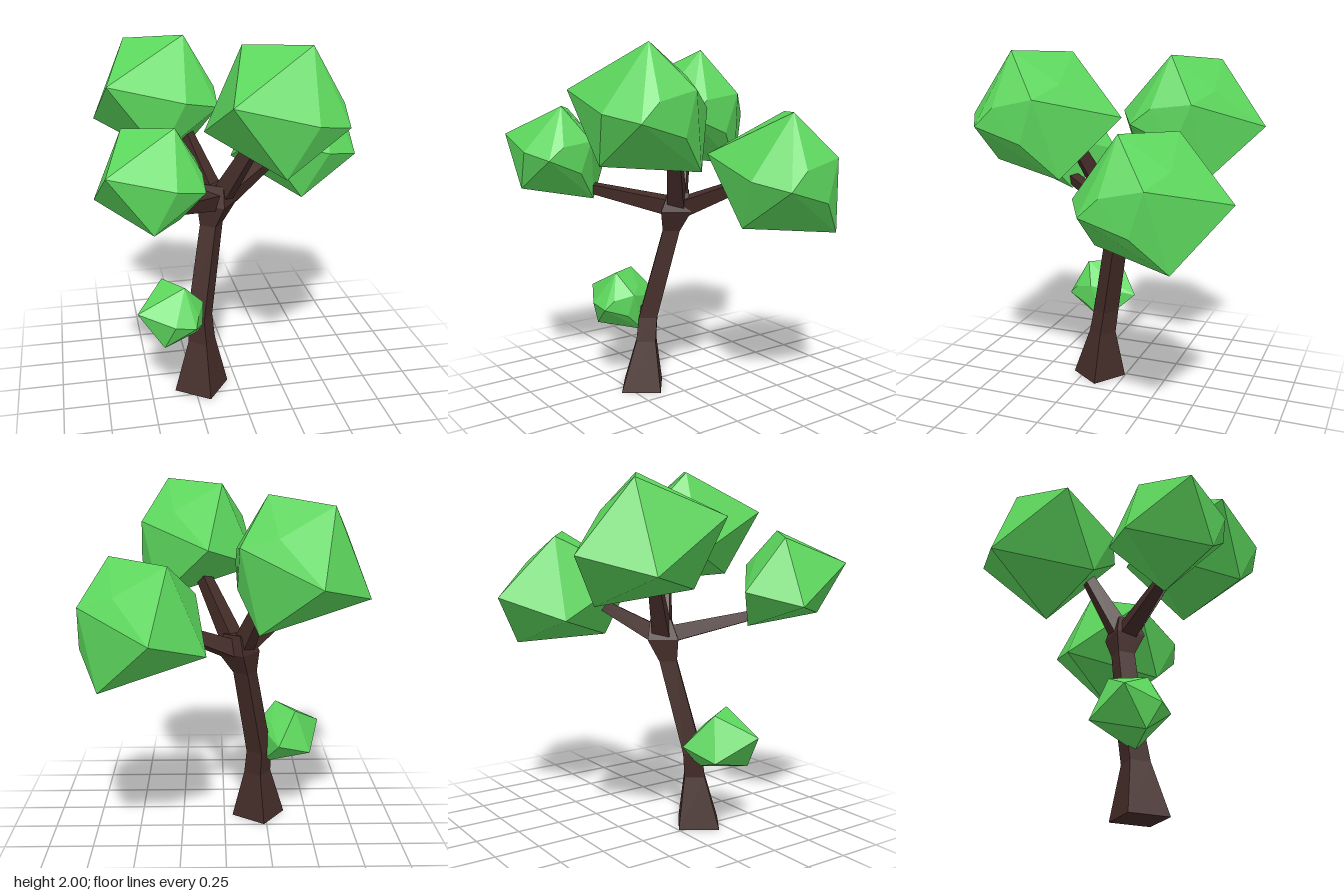
import * as THREE from 'three';
import { ConvexGeometry } from 'three/addons/geometries/ConvexGeometry.js';

const bark = new THREE.MeshStandardMaterial({ color: 0x442c28, flatShading: true });
const leaf = new THREE.MeshStandardMaterial({ color: 0x5cd65c, flatShading: true });

// Corners of one faceted leaf clump, measured from its topmost corner
const clumpCorners = [
  [0, 0, 0], [-0.31, -0.02, -0.21], [-0.44, -0.24, 0.22], [-0.03, -0.34, 0.25],
  [0.155, -0.28, 0.04], [0.158, -0.38, 0.145], [0.155, -0.46, -0.11], [0.147, -0.23, -0.18],
  [-0.23, -0.35, -0.52], [-0.50, -0.47, -0.25], [0.05, -0.65, -0.28], [-0.17, -0.61, 0.19],
  [-0.04, -0.17, -0.25],
].map((p) => new THREE.Vector3(...p));

function named(geometry, material, name) {
  const mesh = new THREE.Mesh(geometry, material);
  mesh.name = name;
  return mesh;
}

// Four-sided column through rings of [x, y, z, radius], bottom to top
function column(rings, twist) {
  const last = rings.length - 1;
  const geo = new THREE.CylinderGeometry(1, 1, 1, 4, last).rotateY(twist);
  const pos = geo.attributes.position;
  for (let i = 0; i < pos.count; i++) {
    const [x, y, z, r] = rings[Math.round((pos.getY(i) + 0.5) * last)];
    pos.setXYZ(i, x + pos.getX(i) * r, y, z + pos.getZ(i) * r);
  }
  geo.computeVertexNormals();
  return geo;
}

// Tapered four-sided limb between two points
function limb(from, to, r0, r1) {
  const a = new THREE.Vector3(...from);
  const b = new THREE.Vector3(...to);
  const dir = b.clone().sub(a);
  const geo = new THREE.CylinderGeometry(r1, r0, dir.length(), 4);
  const turn = new THREE.Quaternion().setFromUnitVectors(new THREE.Vector3(0, 1, 0), dir.normalize());
  const mid = a.add(b).multiplyScalar(0.5);
  return geo.applyQuaternion(turn).translate(mid.x, mid.y, mid.z);
}

export function createModel() {
  const tree = new THREE.Group();
  tree.name = 'tree';

  // Leaning trunk with flared foot and a swollen fork
  tree.add(named(column([
    [-0.207, 0, 0.16, 0.16],
    [-0.198, 0.29, 0.135, 0.08],
    [-0.205, 0.43, 0.115, 0.075],
    [-0.115, 0.95, 0.01, 0.068],
    [-0.08, 1.07, 0, 0.118],
    [-0.07, 1.18, -0.01, 0.08],
  ], 0.17), bark, 'trunk'));

  // Branches
  const branches = [
    ['frontRightBranch', [-0.1, 1.09, 0.02], [-0.38, 1.205, 0.42], 0.065, 0.035],
    ['frontLeftBranch', [-0.07, 1.08, 0], [0.12, 1.48, 0.15], 0.07, 0.045],
    ['backLeftBranch', [-0.06, 1.08, -0.01], [0.285, 1.25, -0.2], 0.07, 0.04],
    ['backRightBranch', [-0.09, 1.08, -0.01], [-0.23, 1.45, -0.17], 0.07, 0.04],
    ['twig', [-0.19, 0.43, 0.11], [-0.3, 0.49, 0.17], 0.05, 0.03],
  ];
  for (const [name, from, to, r0, r1] of branches) {
    tree.add(named(limb(from, to, r0, r1), bark, name));
  }

  // Leaf clumps: top corner, scale, tilt and turn
  const clumpGeometry = new ConvexGeometry(clumpCorners);
  const clumps = [
    ['frontLeftLeaves', [0.32, 2, 0.43], 1, 0, 0],
    ['backLeftLeaves', [0.6, 1.65, -0.26], 1, 0, 0],
    ['backRightLeaves', [-0.215, 1.96, -0.265], 1.01, -0.09, 0],
    ['frontRightLeaves', [-0.38, 1.66, 0.555], 0.775, -0.1, 0],
    ['lowLeaves', [-0.31, 0.69, 0.27], 0.53, 0, -0.41],
  ];
  for (const [name, top, size, tilt, turn] of clumps) {
    const mesh = named(clumpGeometry, leaf, name);
    mesh.position.set(...top);
    mesh.scale.setScalar(size);
    mesh.rotation.set(tilt, turn, 0);
    tree.add(mesh);
  }
  return tree;
}
